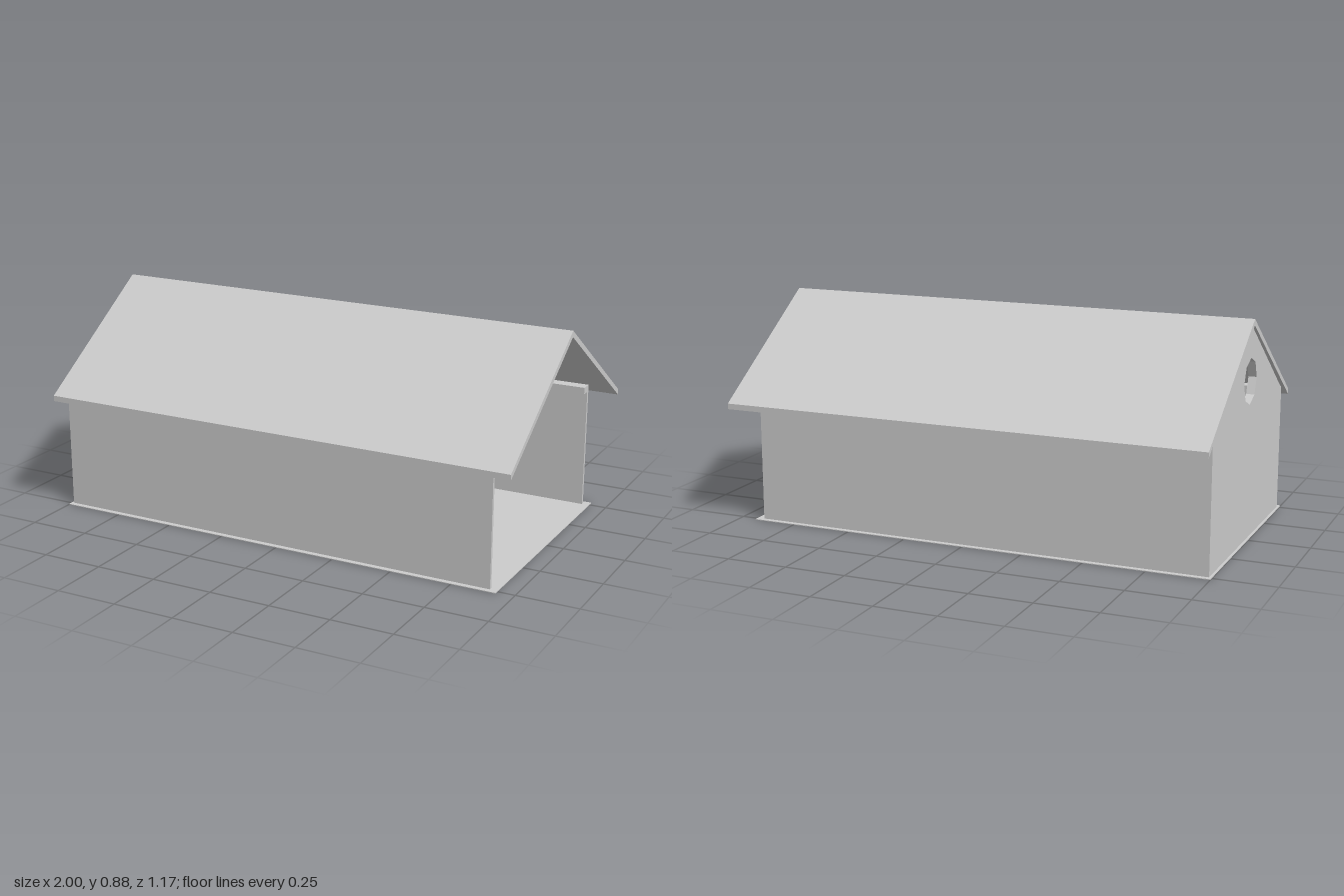
import * as THREE from 'three';

const material = new THREE.MeshStandardMaterial({ color: 0xcccccc, flatShading: true, side: THREE.DoubleSide });

export function createModel() {
  const model = new THREE.Group();
  model.name = 'gabledShelter';

  const add = (name, geometry) => {
    const mesh = new THREE.Mesh(geometry, material);
    mesh.name = name;
    model.add(mesh);
    return mesh;
  };

  // Box given by its limits on each axis
  const box = (name, [x0, x1], [y0, y1], [z0, z1]) => {
    const mesh = add(name, new THREE.BoxGeometry(x1 - x0, y1 - y0, z1 - z0));
    mesh.position.set((x0 + x1) / 2, (y0 + y1) / 2, (z0 + z1) / 2);
    return mesh;
  };

  const toPoints = (list) => list.map(([z, y]) => new THREE.Vector2(-z, y));

  // Outline of [z, y] points extruded along x, with optional holes
  const slab = (name, x0, x1, outline, holes = []) => {
    const shape = new THREE.Shape(toPoints(outline));
    for (const hole of holes) shape.holes.push(new THREE.Path(toPoints(hole)));
    const geometry = new THREE.ExtrudeGeometry(shape, { depth: x1 - x0, bevelEnabled: false });
    geometry.rotateY(Math.PI / 2);
    geometry.translate(x0, 0, 0);
    return add(name, geometry);
  };

  const octagon = (r) => Array.from({ length: 8 }, (_, i) => {
    const a = (i * Math.PI) / 4;
    return [r * Math.sin(a), 0.638 + r * Math.cos(a)];
  });

  const back = -0.99, front = 0.9; // closed and open ends of the walls
  const inner = back + 0.013;      // inside face of the gable wall
  const wallTop = 0.522;

  // Thin floor sheet, slightly larger than the walls
  box('floor', [-1, 0.93], [0, 0.003], [-0.52, 0.52]);

  // Roof: two sloping sheets meeting at the ridge
  slab('roof', -1, 1, [
    [0.583, 0.495], [0, 0.882], [-0.583, 0.495],
    [-0.583, 0.472], [0, 0.857], [0.583, 0.472],
  ]);

  // Closed gable end with an octagonal window
  slab('gableWall', back, inner, [
    [-0.5, 0.002], [0.5, 0.002], [0.5, wallTop], [0.488, wallTop],
    [0, 0.855], [-0.488, wallTop], [-0.5, wallTop],
  ], [octagon(0.092)]);
  slab('windowFrame', inner, inner + 0.02, octagon(0.112), [octagon(0.092)]);

  // Framing inside the gable
  slab('gableRafters', inner, inner + 0.037, [
    [0.487, wallTop], [0, 0.853], [-0.487, wallTop],
    [-0.45, wallTop], [0, 0.835], [0.45, wallTop],
  ]);
  box('gableBeam', [inner, inner + 0.037], [0.495, wallTop], [-0.487, 0.487]);

  // Side walls, each with a top rail and a corner post
  for (const side of [-1, 1]) {
    const span = (a, b) => (side > 0 ? [a, b] : [-b, -a]);
    box('sideWall', [inner, front], [0.002, wallTop], span(0.487, 0.5));
    box('topRail', [inner + 0.037, front], [0.495, wallTop], span(0.45, 0.487));
    box('cornerPost', [inner, inner + 0.037], [0.005, 0.495], span(0.45, 0.487));
  }

  return model;
}
